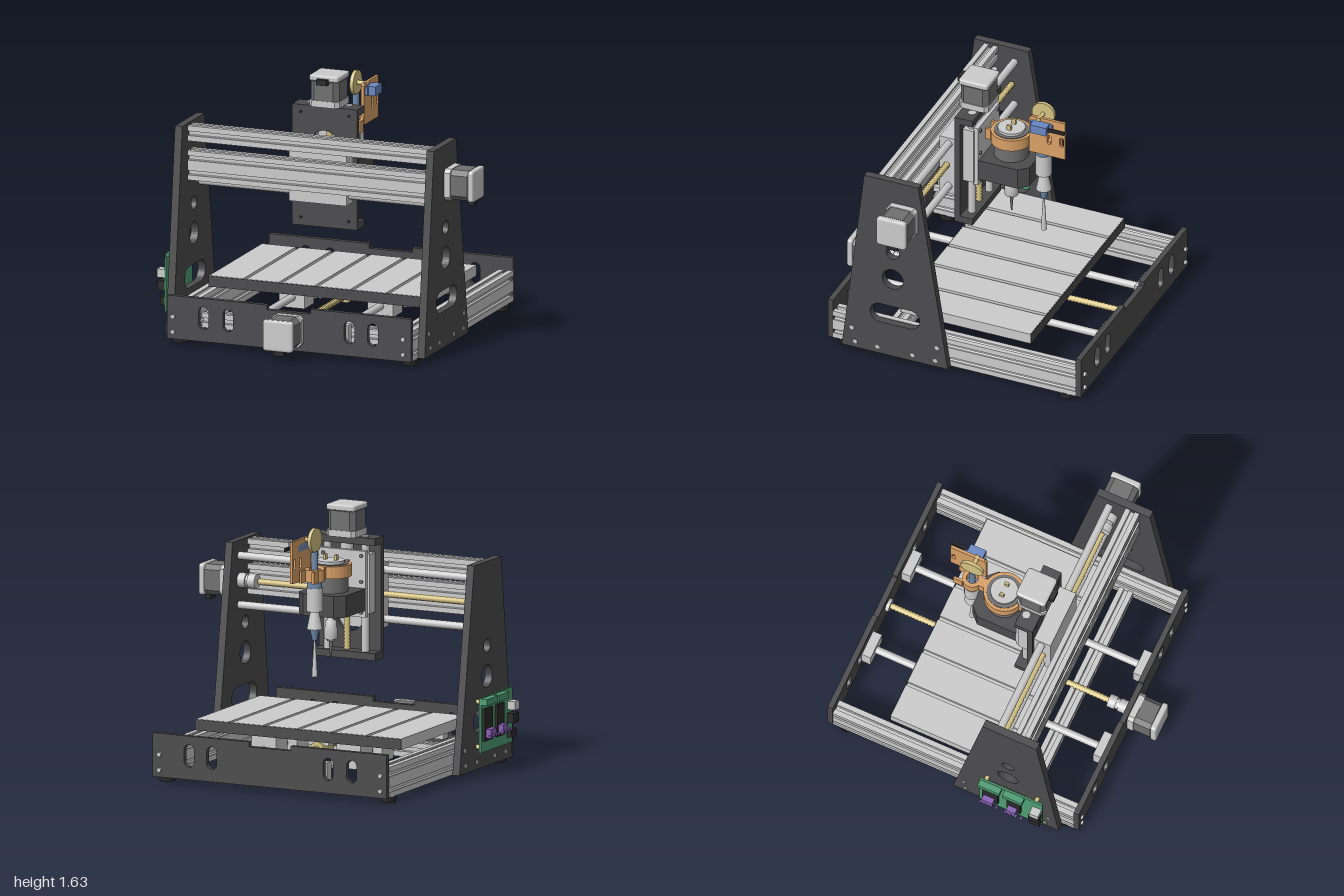
import * as THREE from 'three';
import { RoundedBoxGeometry } from 'three/addons/geometries/RoundedBoxGeometry.js';

const mat = (color) => new THREE.MeshStandardMaterial({ color });
const GREY = mat(0xcccccc), DARK = mat(0x4c4c4e), BLACK = mat(0x2a2a2c), MID = mat(0x707070);
const GOLD = mat(0xd6c383), ORANGE = mat(0xd9a066), BLUE = mat(0x6a88c4), STEEL = mat(0x6f8cab);
const GREEN = mat(0x4f9f74), PURPLE = mat(0x8a62b8);
const CX = -0.04; // middle of the machine

export function createModel() {
  const root = new THREE.Group();
  const add = (name, geo, m = GREY, parent = root) => {
    const mesh = new THREE.Mesh(geo, m);
    mesh.name = name;
    parent.add(mesh);
    return mesh;
  };
  // Box from its limits on each axis
  const box = (name, x0, x1, y0, y1, z0, z1, m, parent) =>
    add(name, new THREE.BoxGeometry(x1 - x0, y1 - y0, z1 - z0)
      .translate((x0 + x1) / 2, (y0 + y1) / 2, (z0 + z1) / 2), m, parent);
  // Turn a geometry built along y onto another axis
  const turn = (geo, axis) => axis === 'x' ? geo.rotateZ(-Math.PI / 2) : axis === 'z' ? geo.rotateX(Math.PI / 2) : geo;
  const rod = (name, axis, r, len, x, y, z, m, r2 = r) =>
    add(name, turn(new THREE.CylinderGeometry(r2, r, len, 28), axis).translate(x, y, z), m);
  const extrude = (shape, depth) => new THREE.ExtrudeGeometry(shape, { depth, bevelEnabled: false, curveSegments: 14 });
  const poly = (pts) => new THREE.Shape(pts.map(([x, y]) => new THREE.Vector2(x, y)));
  const circle = (x, y, r) => new THREE.Path().absarc(x, y, r, 0, Math.PI * 2, true);
  // Rounded slot between two limits on each axis
  const slot = (x0, x1, y0, y1) => {
    const r = Math.min(x1 - x0, y1 - y0) / 2, p = new THREE.Path();
    p.absarc(x1 - r, y1 - r, r, 0, Math.PI / 2).absarc(x0 + r, y1 - r, r, Math.PI / 2, Math.PI);
    p.absarc(x0 + r, y0 + r, r, Math.PI, Math.PI * 1.5).absarc(x1 - r, y0 + r, r, Math.PI * 1.5, Math.PI * 2);
    return p;
  };

  // T-slot extrusion along z, with nw / nh slots on the horizontal / vertical sides
  const tSlot = (w, h, nw, nh, len) => {
    const pts = [];
    const side = (n, size, place) => {
      for (let i = 0; i < n; i++) {
        const c = ((i + 0.5) / n - 0.5) * size;
        [[-0.014, 0], [-0.014, 0.01], [-0.024, 0.01], [-0.012, 0.026], [0.012, 0.026], [0.024, 0.01], [0.014, 0.01], [0.014, 0]]
          .forEach(([t, d]) => pts.push(place(c + t, d)));
      }
    };
    pts.push([-w / 2, -h / 2]); side(nw, w, (t, d) => [t, -h / 2 + d]);
    pts.push([w / 2, -h / 2]); side(nh, h, (t, d) => [w / 2 - d, t]);
    pts.push([w / 2, h / 2]); side(nw, w, (t, d) => [-t, h / 2 - d]);
    pts.push([-w / 2, h / 2]); side(nh, h, (t, d) => [-w / 2 + d, -t]);
    return extrude(poly(pts), len).translate(0, 0, -len / 2);
  };
  // Ridged screw along an axis
  const leadScrew = (axis, len, x, y, z) => {
    const pts = [new THREE.Vector2(0, -len / 2)], n = Math.round(len / 0.022);
    for (let i = 0; i <= n * 2; i++) pts.push(new THREE.Vector2(i % 2 ? 0.021 : 0.016, -len / 2 + i * len / n / 2));
    pts.push(new THREE.Vector2(0, len / 2));
    add('leadScrew', turn(new THREE.LatheGeometry(pts, 14), axis).translate(x, y, z), GOLD);
  };
  // Stepper motor standing along local z, plug on local -y
  const stepper = (name, x, y, z, rx, ry, len = 0.19) => {
    const g = new THREE.Group();
    const block = (c, s, d, z0, n, m) => {
      const h = s / 2, k = h - c;
      add(n, extrude(poly([[-k, -h], [k, -h], [h, -k], [h, k], [k, h], [-k, h], [-h, k], [-h, -k]]), d).translate(0, 0, z0), m, g);
    };
    block(0.022, 0.195, 0.04, 0, 'motorFlange', GREY);
    block(0.03, 0.187, len - 0.08, 0.04, 'motorBody', MID);
    const cap = add('motorCap', new RoundedBoxGeometry(0.195, 0.195, 0.08, 3, 0.02), GREY, g);
    cap.scale.z = 0.5;
    cap.position.z = len - 0.02;
    box('motorPlug', -0.035, 0.035, -0.128, -0.09, len - 0.055, len - 0.02, BLACK, g);
    g.name = name;
    g.position.set(x, y, z);
    g.rotation.set(rx, ry, 0);
    root.add(g);
  };

  // Gantry side plates with round holes, slot and screw heads
  for (const x of [-0.845, 0.805]) {
    const s = poly([[-0.066, 0.04], [0.638, 0.04], [0.49, 1.305], [0.13, 1.305]]);
    s.holes.push(circle(0.3, 0.785, 0.043), circle(0.3, 0.597, 0.07), slot(0.12, 0.45, 0.268, 0.4));
    add('sidePlate', extrude(s, 0.048).rotateY(-Math.PI / 2).translate(x, 0, 0), DARK);
    for (const [z, y] of [[0.57, 0.18], [0.005, 0.18], [0.547, 0.085], [0.4, 0.085], [0.167, 0.085], [0.015, 0.085]])
      rod('plateScrew', 'x', 0.014, 0.006, x > 0 ? 0.807 : -0.895, y, z);
  }

  // Front and back base plates with notch, slots and screws
  for (const z of [0.715, -0.93]) {
    const s = poly([[-0.84, 0.04], [0.76, 0.04], [0.76, 0.31], [0.1, 0.31], [0.1, 0.28], [-0.185, 0.28], [-0.185, 0.31], [-0.84, 0.31]]);
    for (const x of [-0.6, -0.44, 0.355, 0.51]) s.holes.push(slot(x - 0.034, x + 0.034, 0.118, 0.257));
    add('endPlate', extrude(s, 0.034).translate(0, 0, z), DARK);
    for (const x of [-0.8, 0.71]) for (const y of [0.085, 0.18])
      rod('endScrew', 'z', 0.014, 0.015, x, y, z > 0 ? 0.754 : -0.937);
  }

  // Base rails, cross rail and feet
  for (const x of [-0.793, 0.713]) {
    add('baseRail', tSlot(0.095, 0.19, 1, 2, 1.61).translate(x, 0.135, -0.09));
    for (const z of [0.64, -0.82]) rod('foot', 'y', 0.047, 0.042, x, 0.021, z, BLACK, 0.053);
  }
  add('crossRail', tSlot(0.092, 0.092, 1, 1, 1.41).rotateY(Math.PI / 2).translate(CX, 0.086, 0.375));

  // Gantry beams, guide rods and cross drive
  add('upperBeam', tSlot(0.092, 0.095, 1, 1, 1.6).rotateY(Math.PI / 2).translate(CX, 1.247, 0.375));
  add('lowerBeam', tSlot(0.092, 0.185, 1, 2, 1.6).rotateY(Math.PI / 2).translate(CX, 1.047, 0.375));
  for (const y of [0.905, 1.21]) rod('gantryRod', 'x', 0.024, 1.6, CX, y, 0.22);
  leadScrew('x', 1.46, -0.1, 1.057, 0.23);
  rod('coupler', 'x', 0.045, 0.05, 0.665, 1.057, 0.23);
  rod('coupler', 'x', 0.036, 0.02, 0.7, 1.057, 0.23);
  rod('coupler', 'x', 0.045, 0.05, 0.732, 1.057, 0.23);
  stepper('gantryMotor', 0.805, 1.057, 0.23, 0, Math.PI / 2);

  // Bed drive: rods, end supports, sliding blocks and screw
  for (const x of [-0.333, 0.247]) {
    rod('bedRod', 'z', 0.024, 1.61, x, 0.165, -0.09);
    for (const z of [0.65, -0.897]) box('rodSupport', x - 0.083, x + 0.083, 0.1, 0.22, z, z + 0.06);
    for (const z of [-0.17, -0.45]) box('bedBearing', x - 0.083, x + 0.083, 0.1, 0.272, z, z + 0.155);
  }
  leadScrew('z', 1.48, CX, 0.17, -0.15);
  for (const [r, z, l] of [[0.042, 0.61, 0.05], [0.034, 0.645, 0.02], [0.042, 0.685, 0.06], [0.042, -0.885, 0.022]])
    rod('coupler', 'z', r, l, CX, 0.17, z);
  box('nutBlock', CX - 0.07, CX + 0.07, 0.19, 0.272, -0.28, -0.18);
  rod('screwNut', 'z', 0.045, 0.14, CX, 0.17, -0.23, GOLD);
  stepper('bedMotor', CX, 0.17, 0.75, 0, 0);

  // Slotted bed with dark ends
  box('bedBase', -0.745, 0.66, 0.27, 0.318, -0.55, 0.305);
  for (let i = 0; i < 6; i++) {
    const x = -0.745 + i * 0.2342;
    box('bedSlat', x + (i ? 0.012 : 0), x + 0.2342 - (i < 5 ? 0.012 : 0), 0.318, 0.338, -0.55, 0.305);
  }
  for (const z of [-0.556, 0.305]) box('bedEnd', -0.745, 0.66, 0.27, 0.336, z, z + 0.006, DARK);

  // Carriage and vertical slide frame
  box('carriage', -0.23, 0.145, 0.85, 1.25, 0.17, 0.28);
  const back = poly([[-0.255, 0.675], [0.17, 0.675], [0.17, 1.43], [-0.255, 1.43]]);
  back.holes.push(slot(-0.135, 0.05, 0.83, 1.28));
  add('slideBack', extrude(back, 0.035).translate(0, 0, 0.135), DARK);
  box('slideTop', -0.255, 0.17, 1.385, 1.43, 0.05, 0.135, DARK);
  box('slideBottom', -0.255, 0.17, 0.675, 0.72, 0.05, 0.135, DARK);
  for (const x of [-0.2, 0.115]) for (const y of [0.725, 1.385]) rod('slideScrew', 'z', 0.01, 0.006, x, y, 0.172, BLACK);
  for (const x of [-0.17, 0.087]) {
    rod('slideRod', 'y', 0.024, 0.72, x, 1.075, 0.09);
    box('slideBearing', x - 0.045, x + 0.045, 0.96, 1.33, 0.06, 0.132);
  }
  leadScrew('y', 0.62, CX, 1.03, 0.1);
  rod('coupler', 'y', 0.04, 0.11, CX, 1.33, 0.1);
  box('slidePlate', -0.2, 0.12, 0.94, 1.35, 0.035, 0.065);
  for (const x of [-0.17, 0.09]) for (const y of [0.97, 1.16, 1.32]) rod('slideScrew', 'z', 0.012, 0.01, x, y, 0.032, MID);
  stepper('slideMotor', CX, 1.43, 0.1, -Math.PI / 2, 0, 0.2);

  // Spindle, its holder, chuck and bit
  const SZ = -0.116;
  const flat = (shape, h, y, z) => extrude(shape, h).rotateX(-Math.PI / 2).translate(CX, y, z);
  const holder = poly([[-0.16, -0.15], [0.16, -0.15], [0.16, 0.11], [0.105, 0.165], [-0.105, 0.165], [-0.16, 0.11]]);
  holder.holes.push(circle(0, 0, 0.108));
  add('spindleHolder', flat(holder, 0.135, 0.985, SZ), DARK);
  rod('spindleBody', 'y', 0.108, 0.29, CX, 1.15, SZ, MID);
  rod('spindleNose', 'y', 0.085, 0.025, CX, 0.993, SZ, BLACK);
  rod('spindleCap', 'y', 0.085, 0.02, CX, 1.302, SZ);
  for (const x of [-0.037, 0.037]) box('terminal', CX + x - 0.008, CX + x + 0.008, 1.31, 1.345, SZ - 0.014, SZ + 0.014, GOLD);
  const chuck = [[0, 0.8], [0.022, 0.81], [0.03, 0.82], [0.042, 0.825], [0.042, 0.89], [0.036, 0.895], [0.036, 0.935], [0.02, 0.94], [0.02, 0.99]];
  add('chuck', new THREE.LatheGeometry(chuck.map(([r, y]) => new THREE.Vector2(r, y)), 24).translate(CX, 0, SZ));
  rod('bit', 'y', 0.004, 0.11, CX, 0.762, SZ, MID, 0.013);

  // Orange clamp around the spindle and the pen
  const ring = (r0, r1) => {
    const s = new THREE.Shape().absarc(0, 0, r1, 0, Math.PI * 2);
    s.holes.push(circle(0, 0, r0));
    return s;
  };
  const PZ = -0.33;
  add('spindleClamp', flat(ring(0.1, 0.128), 0.075, 1.215, SZ), ORANGE);
  add('penClamp', flat(ring(0.036, 0.062), 0.075, 1.215, PZ), ORANGE);
  for (const x of [-0.05, 0.035]) {
    box('clampTab', CX + x, CX + x + 0.016, 1.215, 1.29, 0, 0.036, ORANGE);
    box('clampArm', CX + x, CX + x + 0.016, 1.215, 1.29, -0.435, -0.375, ORANGE);
  }
  box('clampBridge', CX - 0.03, CX + 0.03, 1.215, 1.29, -0.285, -0.235, ORANGE);
  const plate = poly([[-0.505, 1.22], [-0.265, 1.22], [-0.265, 1.465], [-0.28, 1.48], [-0.505, 1.48]]);
  for (const z of [-0.4, -0.482]) plate.holes.push(slot(z - 0.013, z + 0.013, 1.305, 1.37));
  add('liftPlate', extrude(plate, 0.018).rotateY(-Math.PI / 2).translate(0.038, 0, 0), ORANGE);

  // Lift servo and cam wheel
  box('servo', 0.038, 0.1, 1.4, 1.457, -0.405, -0.3, BLUE);
  box('servoFlange', 0.02, 0.055, 1.405, 1.452, -0.425, -0.28, BLUE);
  box('servoCable', 0.062, 0.076, 1.418, 1.438, -0.515, -0.405, BLACK);
  rod('camWheel', 'x', 0.075, 0.022, CX, 1.467, PZ, GOLD);
  rod('camAxle', 'x', 0.014, 0.09, 0.0, 1.467, PZ, GOLD);

  // Pen with skirt and flared needle
  rod('penStem', 'y', 0.02, 0.2, CX, 1.3, PZ, STEEL);
  rod('penCollar', 'y', 0.046, 0.04, CX, 1.195, PZ, STEEL);
  rod('penBody', 'y', 0.05, 0.145, CX, 1.103, PZ);
  rod('penSkirt', 'y', 0.048, 0.11, CX, 0.975, PZ, GREY, 0.026);
  rod('penTip', 'y', 0.015, 0.07, CX, 0.885, PZ, STEEL, 0.03);
  rod('needle', 'y', 0.018, 0.235, CX, 0.742, PZ, GREY, 0.005);

  // Control board on the left plate
  box('circuitBoard', -0.938, -0.926, 0.15, 0.49, 0.13, 0.55, GREEN);
  for (const z of [0.165, 0.5]) for (const y of [0.18, 0.46]) rod('standoff', 'x', 0.014, 0.045, -0.908, y, z, GOLD);
  for (const [z0, z1] of [[0.135, 0.28], [0.3, 0.43]]) {
    box('terminalBlock', -0.978, -0.938, 0.445, 0.485, z0, z1, GREEN);
    for (let z = z0 + 0.02; z < z1; z += 0.035) box('boardPin', -1, -0.978, 0.25, 0.262, z, z + 0.012, PURPLE);
    box('driverSocket', -0.955, -0.938, 0.22, 0.42, z0 + 0.02, z1 - 0.02, BLACK);
    box('driverHeatsink', -0.99, -0.955, 0.24, 0.295, z0 + 0.03, z1 - 0.04, PURPLE);
  }
  box('usbSocket', -0.99, -0.938, 0.36, 0.412, 0.485, 0.545);
  box('powerSocket', -0.985, -0.938, 0.28, 0.34, 0.475, 0.545, BLACK);
  box('switch', -0.97, -0.938, 0.19, 0.24, 0.475, 0.545, BLACK);

  return root;
}
